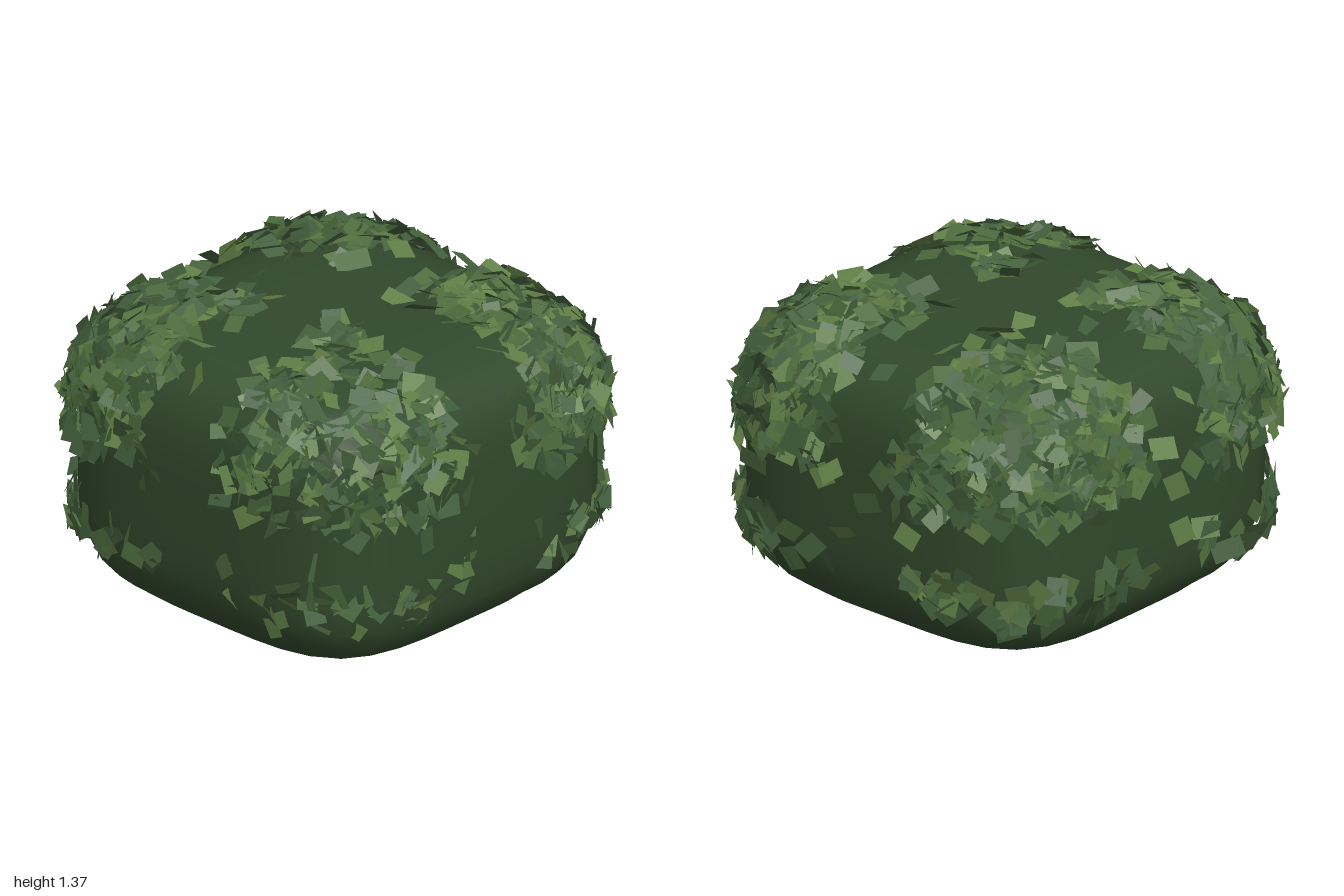
import * as THREE from 'three';
import { mergeGeometries } from 'three/addons/utils/BufferGeometryUtils.js';

const POWER = 4.2; // roundness of the boxy hedge shape

// Small seeded generator
let seed = 7;
const rnd = () => (seed = (seed * 16807) % 2147483647) / 2147483647;
const range = (a, b) => a + (b - a) * rnd();

// Push a direction out to a unit rounded cube
function toRoundedCube(v) {
  const s = Math.abs(v.x) ** POWER + Math.abs(v.y) ** POWER + Math.abs(v.z) ** POWER;
  return v.multiplyScalar(s ** (-1 / POWER));
}

// Outward normal of the rounded cube after scaling
function normalAt(p, half) {
  const f = (t, h) => (Math.sign(t) * Math.abs(t) ** (POWER - 1)) / h;
  return new THREE.Vector3(f(p.x, half.x), f(p.y, half.y), f(p.z, half.z)).normalize();
}

// Dark solid body of the bush
function makeCore() {
  const half = new THREE.Vector3(0.905, 0.645, 0.9);
  const centre = new THREE.Vector3(-0.025, 0.645, 0.03);
  const geo = new THREE.SphereGeometry(1, 40, 28);
  const pos = geo.attributes.position;
  const nor = geo.attributes.normal;
  const v = new THREE.Vector3();
  for (let i = 0; i < pos.count; i++) {
    toRoundedCube(v.fromBufferAttribute(pos, i));
    const n = normalAt(v, half);
    v.multiply(half).add(centre);
    pos.setXYZ(i, v.x, v.y, v.z);
    nor.setXYZ(i, n.x, n.y, n.z);
  }
  const mesh = new THREE.Mesh(geo, new THREE.MeshStandardMaterial({ color: 0x31482b }));
  mesh.name = 'bushCore';
  return mesh;
}

// One flat leaf card lying roughly along the surface
function makeLeaf(point, normal) {
  const leaf = new THREE.PlaneGeometry(range(0.07, 0.1), range(0.09, 0.15));
  const tilt = new THREE.Vector3(range(-1, 1), range(-1, 1), range(-1, 1)).multiplyScalar(0.55);
  const facing = normal.clone().add(tilt).normalize();
  const turn = new THREE.Quaternion().setFromUnitVectors(new THREE.Vector3(0, 0, 1), facing);
  leaf.rotateZ(range(0, Math.PI * 2));
  leaf.applyQuaternion(turn);
  return leaf.translate(point.x, point.y, point.z);
}

// Leaves gather around one corner of a shell centred on the origin
function scatterLeaves(sx, sz, count, accept, buckets) {
  const half = new THREE.Vector3(0.925, 0.65, 0.925);
  const sunken = sx < 0 && sz > 0 ? -0.012 : 0;
  let placed = 0;
  while (placed < count) {
    const p = new THREE.Vector3(sx * rnd(), range(-1, 1), sz * rnd());
    if (p.lengthSq() > 1 || p.lengthSq() < 0.05) continue;
    toRoundedCube(p);
    const n = normalAt(p, half);
    const q = p.clone().multiply(half);
    q.y += 0.65;
    if (!accept(q)) continue;
    q.addScaledVector(n, sunken + range(-0.01, 0.025));
    buckets[Math.floor(rnd() * buckets.length)].push(makeLeaf(q, n));
    placed++;
  }
}

export function createModel() {
  const group = new THREE.Group();
  group.name = 'hedgeBush';
  group.add(makeCore());

  const colors = [0x5f7d45, 0x4b6a3c, 0x3f5b38, 0x466440];
  const buckets = colors.map(() => []);

  // Dense clumps thin out toward the middle of each face
  const upper = (q) => {
    const inner = Math.min(Math.abs(q.x), Math.abs(q.z));
    return q.y > 0.72 && rnd() < (inner - 0.12) * 4 && rnd() < (q.y - 0.66) * 4;
  };
  const lower = (q) => {
    const inner = Math.min(Math.abs(q.x), Math.abs(q.z));
    return q.y > 0.28 && q.y < 0.48 && rnd() < (inner - 0.1) * 3;
  };
  const stray = (q) => q.y > 0.28 && rnd() < 0.5;

  for (const sx of [-1, 1]) {
    for (const sz of [-1, 1]) {
      scatterLeaves(sx, sz, 370, upper, buckets);
      scatterLeaves(sx, sz, 50, lower, buckets);
      scatterLeaves(sx, sz, 7, stray, buckets);
    }
  }

  buckets.forEach((leaves, i) => {
    const mat = new THREE.MeshStandardMaterial({ color: colors[i], side: THREE.DoubleSide });
    const mesh = new THREE.Mesh(mergeGeometries(leaves), mat);
    mesh.name = `leaves${i + 1}`;
    group.add(mesh);
  });
  return group;
}
